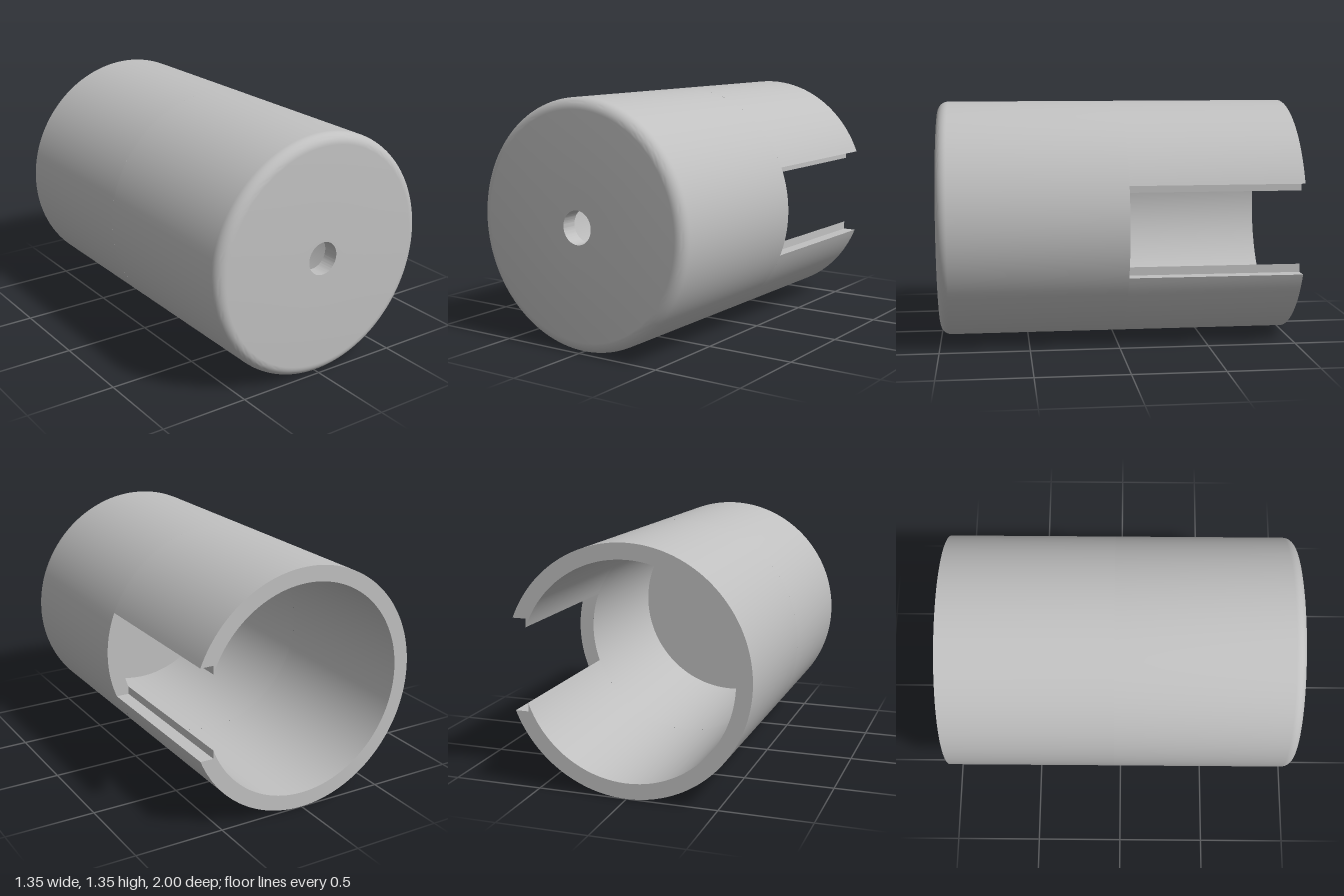
import * as THREE from 'three';
import { toCreasedNormals } from 'three/addons/utils/BufferGeometryUtils.js';

const R = 0.676, r = 0.59;             // outer and bore radius
const hole = 0.092, fillet = 0.06, wall = 0.09;
const slotZ = -0.035, slotH = 0.252;   // slot end and half height
const ledgeX = 0.553;                  // depth of the flat slot cut
const ledgeY = Math.sqrt(r * r - ledgeX * ledgeX);
const aOut = Math.asin(slotH / R), aIn = Math.atan2(ledgeY, ledgeX);

export function createModel() {
  const group = new THREE.Group();
  const grey = new THREE.MeshStandardMaterial({ color: 0xc0c0c0 });
  grey.name = 'plain grey';

  const add = (name, geometry) => {
    const mesh = new THREE.Mesh(toCreasedNormals(geometry, 0.5), grey);
    mesh.name = name;
    mesh.position.y = R;
    group.add(mesh);
  };

  // Closed front half: rounded rim, end wall with a centre hole, and bore
  const profile = [new THREE.Vector2(R, slotZ)];
  for (let i = 0; i <= 10; i++) {
    const a = (i / 10) * Math.PI / 2;
    profile.push(new THREE.Vector2(R - fillet + fillet * Math.cos(a), 1 - fillet + fillet * Math.sin(a)));
  }
  profile.push(
    new THREE.Vector2(hole, 1),
    new THREE.Vector2(hole, 1 - wall),
    new THREE.Vector2(r, 1 - wall),
    new THREE.Vector2(r, slotZ),
  );
  add('closedEnd', new THREE.LatheGeometry(profile, 128).rotateX(Math.PI / 2));

  // Open rear half: a C-shaped section with a flat-cut slot on one side
  const section = new THREE.Shape();
  section.absarc(0, 0, R, aOut, 2 * Math.PI - aOut, false);
  section.lineTo(ledgeX, -slotH);
  section.lineTo(ledgeX, -ledgeY);
  section.absarc(0, 0, r, 2 * Math.PI - aIn, aIn, true);
  section.lineTo(ledgeX, slotH);
  section.closePath();
  add('slottedSleeve', new THREE.ExtrudeGeometry(section, {
    depth: slotZ + 1, bevelEnabled: false, curveSegments: 64,
  }).translate(0, 0, -1));

  // Face that closes the slot, turned to the rear
  const end = new THREE.Shape();
  end.absarc(0, 0, R, -aOut, aOut, false);
  end.lineTo(ledgeX, slotH);
  end.lineTo(ledgeX, ledgeY);
  end.absarc(0, 0, r, aIn, -aIn, true);
  end.lineTo(ledgeX, -slotH);
  end.closePath();
  add('slotEnd', new THREE.ShapeGeometry(end, 12).rotateX(Math.PI).translate(0, 0, slotZ));

  return group;
}
